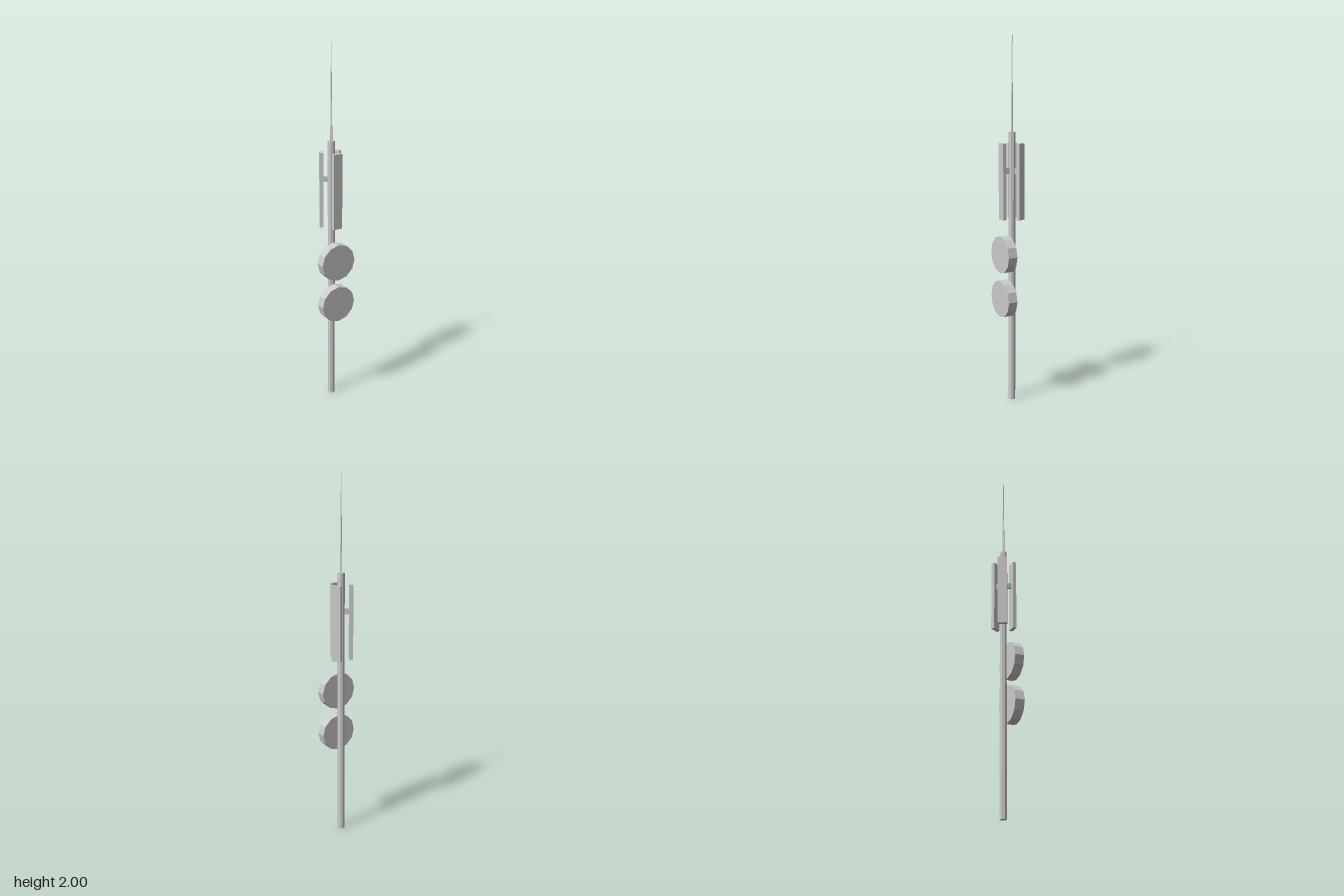
import * as THREE from 'three';

const POLE_Z = -0.0105;

export function createModel() {
  const model = new THREE.Group();
  model.name = 'antennaMast';
  const material = new THREE.MeshStandardMaterial({ color: 0xcccccc, flatShading: true });

  function add(parent, name, geometry, x, y, z) {
    const mesh = new THREE.Mesh(geometry, material);
    mesh.name = name;
    mesh.position.set(x, y, z);
    parent.add(mesh);
    return mesh;
  }

  // Main pole and tapered whip on top
  add(model, 'pole', new THREE.CylinderGeometry(0.0196, 0.0196, 1.5, 8), 0, 0.75, POLE_Z);
  add(model, 'whip', new THREE.CylinderGeometry(0.0015, 0.007, 0.5, 4), 0, 1.75, POLE_Z);

  // Three sector panels on brackets, 120 degrees apart
  const reaches = [0.057, 0.053, 0.053];
  reaches.forEach((reach, i) => {
    const sector = new THREE.Group();
    sector.name = 'sector' + (i + 1);
    sector.position.z = POLE_Z;
    sector.rotation.y = (i * Math.PI * 2) / 3;
    add(sector, 'panel', new THREE.BoxGeometry(0.052, 0.41, 0.02), 0, 1.235, reach);
    const length = reach - 0.01;
    add(sector, 'bracket', new THREE.BoxGeometry(0.01, 0.031, length), 0, 1.293, length / 2);
    model.add(sector);
  });

  // Two drum dishes on the front of the pole
  const drum = new THREE.CylinderGeometry(0.103, 0.103, 0.052, 12).rotateX(Math.PI / 2);
  add(model, 'upperDrum', drum, 0, 0.838, 0.038);
  add(model, 'lowerDrum', drum, 0, 0.592, 0.038);

  return model;
}
